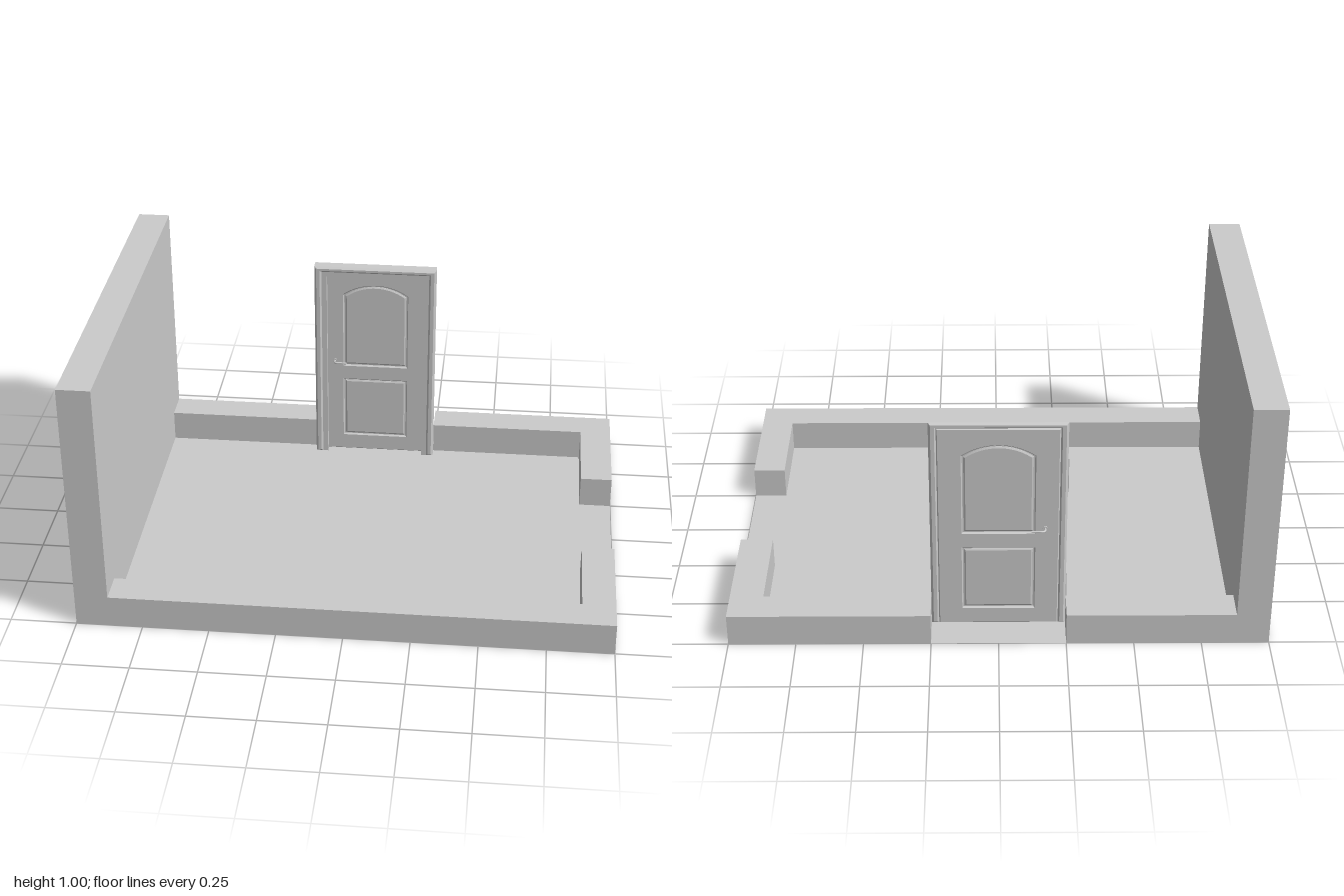
import * as THREE from 'three';

const grey = new THREE.MeshStandardMaterial({ color: 0xcccccc, flatShading: true });
const thin = new THREE.MeshStandardMaterial({ color: 0xcccccc, side: THREE.DoubleSide });

function add(parent, name, geometry, x = 0, y = 0, z = 0, material = grey) {
  const mesh = new THREE.Mesh(geometry, material);
  mesh.name = name;
  mesh.position.set(x, y, z);
  parent.add(mesh);
  return mesh;
}

const polygon = (points) => new THREE.Shape(points.map(([x, y]) => new THREE.Vector2(x, y)));

// Wall raised from a floor outline given as [x, z] corners
function wall(parent, name, outline, height) {
  const shape = polygon(outline.map(([x, z]) => [x, -z]));
  const geometry = new THREE.ExtrudeGeometry(shape, { depth: height, bevelEnabled: false });
  add(parent, name, geometry.rotateX(-Math.PI / 2));
}

// Panel outline: straight sides, with an optional arched top
function panelPath(halfWidth, bottom, shoulder, top) {
  const path = new THREE.Path();
  path.moveTo(-halfWidth, bottom);
  path.lineTo(halfWidth, bottom);
  path.lineTo(halfWidth, shoulder);
  if (top > shoulder) {
    const rise = top - shoulder;
    const radius = (halfWidth * halfWidth + rise * rise) / (2 * rise);
    const angle = Math.asin(halfWidth / radius);
    path.absarc(0, top - radius, radius, Math.PI / 2 - angle, Math.PI / 2 + angle, false);
  } else {
    path.lineTo(-halfWidth, shoulder);
  }
  path.closePath();
  return path;
}

// Upside-down U standing on the floor
function arch(outerX, outerY, innerX, innerY, base) {
  return polygon([
    [-outerX, base], [-innerX, base], [-innerX, innerY], [innerX, innerY],
    [innerX, base], [outerX, base], [outerX, outerY], [-outerX, outerY],
  ]);
}

function lever(parent, name, z, side) {
  const handle = new THREE.Group();
  handle.name = name;
  handle.position.set(-0.17, 0.43, z);
  parent.add(handle);
  const rose = new THREE.CylinderGeometry(0.009, 0.009, 0.004, 12).rotateX(Math.PI / 2);
  add(handle, 'rose', rose, 0, 0, side * 0.002);
  const curve = new THREE.CatmullRomCurve3([
    [0, 0, 0], [0, 0, side * 0.018], [0.006, 0, side * 0.025], [0.025, 0.001, side * 0.026], [0.05, 0, side * 0.026],
  ].map((p) => new THREE.Vector3(...p)));
  add(handle, 'leverBar', new THREE.TubeGeometry(curve, 16, 0.004, 8), 0, 0, 0, thin);
}

function buildDoor() {
  const door = new THREE.Group();
  door.name = 'door';

  // Casing with chamfered edges, and the recessed stop inside it
  const b = 0.008;
  const casing = new THREE.ExtrudeGeometry(arch(0.25 - b, 0.875 - b, 0.22 + b, 0.85 + b, b), {
    depth: 0.053 - 2 * b, bevelEnabled: true, bevelThickness: b, bevelSize: b, bevelSegments: 1,
  });
  add(door, 'casing', casing, 0, 0, -0.628 + b);
  const stop = new THREE.ExtrudeGeometry(arch(0.225, 0.855, 0.2, 0.83, 0), { depth: 0.024, bevelEnabled: false });
  add(door, 'doorStop', stop, 0, 0, -0.606);

  // Leaf with two panel openings
  const leafShape = polygon([[-0.218, 0.006], [0.218, 0.006], [0.218, 0.848], [-0.218, 0.848]]);
  leafShape.holes.push(panelPath(0.135, 0.405, 0.74, 0.785), panelPath(0.135, 0.07, 0.345, 0.345));
  const leaf = new THREE.ExtrudeGeometry(leafShape, {
    depth: 0.012, bevelEnabled: true, bevelThickness: 0.004, bevelSize: 0.004, bevelSegments: 1, curveSegments: 20,
  });
  add(door, 'leaf', leaf, 0, 0, -0.623);

  // Fielded panels set into the openings
  [['upperPanel', 0.12, 0.42, 0.73, 0.77], ['lowerPanel', 0.12, 0.085, 0.33, 0.33]].forEach(([name, w, y0, y1, y2]) => {
    const field = new THREE.Shape(panelPath(w, y0, y1, y2).getPoints(20));
    const geometry = new THREE.ExtrudeGeometry(field, {
      depth: 0.008, bevelEnabled: true, bevelThickness: 0.003, bevelSize: 0.006, bevelSegments: 1,
    });
    add(door, name, geometry, 0, 0, -0.621);
    add(door, name + 'Back', new THREE.BoxGeometry(0.28, y2 - y0 + 0.04, 0.004), 0, (y0 + y2) / 2, -0.617);
  });

  // Lever handles on both faces
  lever(door, 'frontHandle', -0.607, 1);
  lever(door, 'backHandle', -0.627, -1);

  // Slim hinge plates on the casing's side
  for (const y of [0.15, 0.65]) add(door, 'hinge', new THREE.BoxGeometry(0.006, 0.14, 0.012), -0.25, y, -0.612);
  return door;
}

export function createModel() {
  const model = new THREE.Group();
  model.name = 'roomWithDoor';

  // Floor
  add(model, 'floor', new THREE.PlaneGeometry(2, 1.5).rotateX(-Math.PI / 2), 0, 0, 0, thin);

  // One tall side wall and low walls with gaps at the door and the right side
  wall(model, 'tallWall', [[-1, 0.75], [-0.875, 0.75], [-0.875, -0.75], [-1, -0.75]], 1);
  wall(model, 'frontLowWall',
    [[-0.875, 0.75], [1, 0.75], [1, 0.25], [0.875, 0.25], [0.875, 0.625], [-0.875, 0.625]], 0.125);
  wall(model, 'backLowWall',
    [[-0.875, -0.625], [-0.25, -0.625], [-0.25, -0.75], [-0.875, -0.75]], 0.125);
  wall(model, 'backCornerLowWall',
    [[0.25, -0.625], [0.875, -0.625], [0.875, -0.25], [1, -0.25], [1, -0.75], [0.25, -0.75]], 0.125);

  model.add(buildDoor());
  return model;
}
